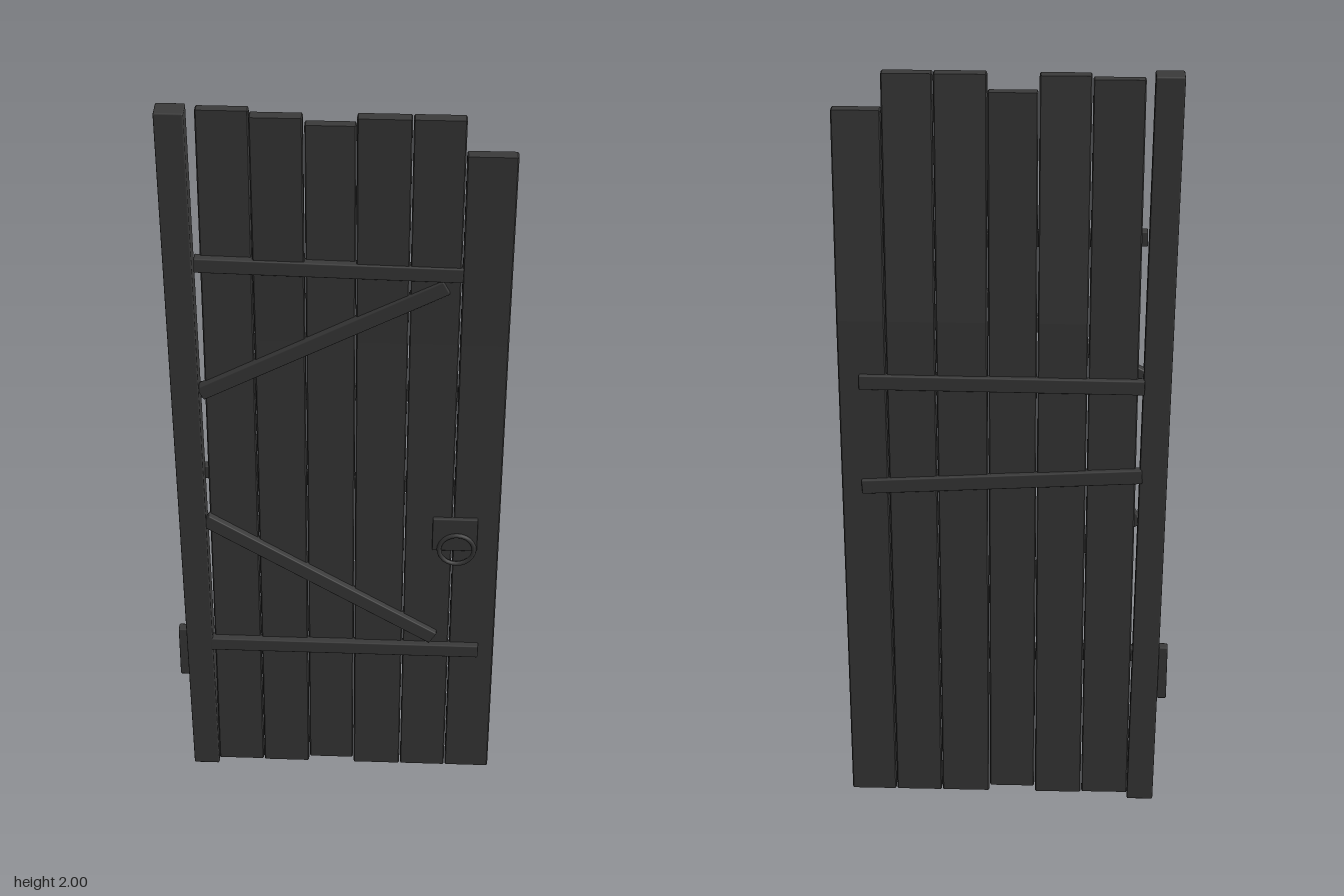
import * as THREE from 'three';
import { RoundedBoxGeometry } from 'three/addons/geometries/RoundedBoxGeometry.js';

const wood = new THREE.MeshStandardMaterial({ color: 0x3a3a3a });
const iron = new THREE.MeshStandardMaterial({ color: 0x383838 });

function add(group, name, geometry, material = wood) {
  const mesh = new THREE.Mesh(geometry, material);
  mesh.name = name;
  group.add(mesh);
  return mesh;
}

// Plank: side profile with an optional forward warp near the top, extruded across its width
function plankGeometry({ x0, x1, y0, y1, back, front, warp }) {
  const bevel = 0.003, bendY = 1.38;
  const points = [[back, y0], [front, y0], [front, bendY], [front + warp, y1], [back + warp, y1], [back, bendY]];
  const shape = new THREE.Shape(points.map(([z, y]) => new THREE.Vector2(-z, y)));
  const geometry = new THREE.ExtrudeGeometry(shape, {
    depth: x1 - x0 - 2 * bevel, bevelEnabled: true, bevelSegments: 1,
    bevelSize: bevel, bevelThickness: bevel, bevelOffset: -bevel,
  });
  return geometry.rotateY(Math.PI / 2).translate(x0 + bevel, 0, 0);
}

// Batten: a slim beam between two points on the door face
function addBatten(group, name, [xa, ya], [xb, yb], z, depth) {
  const length = Math.hypot(xb - xa, yb - ya);
  const mesh = add(group, name, new RoundedBoxGeometry(length, 0.038, depth, 1, 0.003));
  mesh.position.set((xa + xb) / 2, (ya + yb) / 2, z);
  mesh.rotation.z = Math.atan2(yb - ya, xb - xa);
}

export function createModel() {
  const door = new THREE.Group();
  door.name = 'plankDoor';

  // Vertical planks, two of them straight and the rest warped forward at the top
  const seams = [-0.325, -0.2, -0.075, 0.046, 0.174, 0.297, 0.417];
  const tops = [1.993, 1.993, 1.96, 1.995, 1.995, 1.905];
  tops.forEach((y1, i) => {
    const straight = i === 0 || i === 2;
    add(door, 'plank' + (i + 1), plankGeometry({
      x0: seams[i] + 0.001, x1: seams[i + 1] - 0.001,
      y0: i === 2 ? 0.025 : 0.01, y1,
      back: straight ? -0.022 : -0.025, front: straight ? 0.003 : 0.005,
      warp: straight ? 0 : 0.03,
    }));
  });

  // Hinge post, leaning slightly outward and forward
  const post = new RoundedBoxGeometry(0.069, 2, 0.056, 1, 0.004).translate(0, 1, 0);
  const p = post.attributes.position;
  for (let i = 0; i < p.count; i++) {
    const t = p.getY(i) / 2;
    p.setX(i, p.getX(i) - 0.358 - 0.022 * t);
    p.setZ(i, p.getZ(i) - 0.011 + 0.02 * t);
  }
  add(door, 'hingePost', post);

  // Small block on the outer side of the post
  add(door, 'postBlock', new RoundedBoxGeometry(0.05, 0.155, 0.026, 1, 0.003))
    .position.set(-0.395, 0.388, -0.009);

  // Front battens and diagonal braces
  addBatten(door, 'frontUpperBatten', [-0.338, 1.595], [0.3, 1.582], 0.008, 0.028);
  addBatten(door, 'frontUpperBrace', [-0.335, 1.23], [0.262, 1.548], 0.008, 0.026);
  addBatten(door, 'frontLowerBrace', [-0.335, 0.84], [0.255, 0.472], 0.008, 0.026);
  addBatten(door, 'frontLowerBatten', [-0.335, 0.432], [0.375, 0.43], 0.008, 0.028);

  // Back battens
  addBatten(door, 'backUpperBatten', [-0.34, 1.215], [0.365, 1.22], -0.025, 0.022);
  addBatten(door, 'backLowerBatten', [-0.34, 0.97], [0.365, 0.93], -0.025, 0.022);

  // Handle plate with a hanging ring
  const handle = new THREE.Group();
  handle.name = 'handle';
  add(handle, 'handlePlate', new RoundedBoxGeometry(0.115, 0.1, 0.014, 1, 0.003), iron)
    .position.set(0.303, 0.811, 0.008);
  add(handle, 'handleRing', new THREE.TorusGeometry(0.045, 0.006, 8, 24), iron)
    .position.set(0.308, 0.768, 0.018);
  door.add(handle);

  return door;
}
